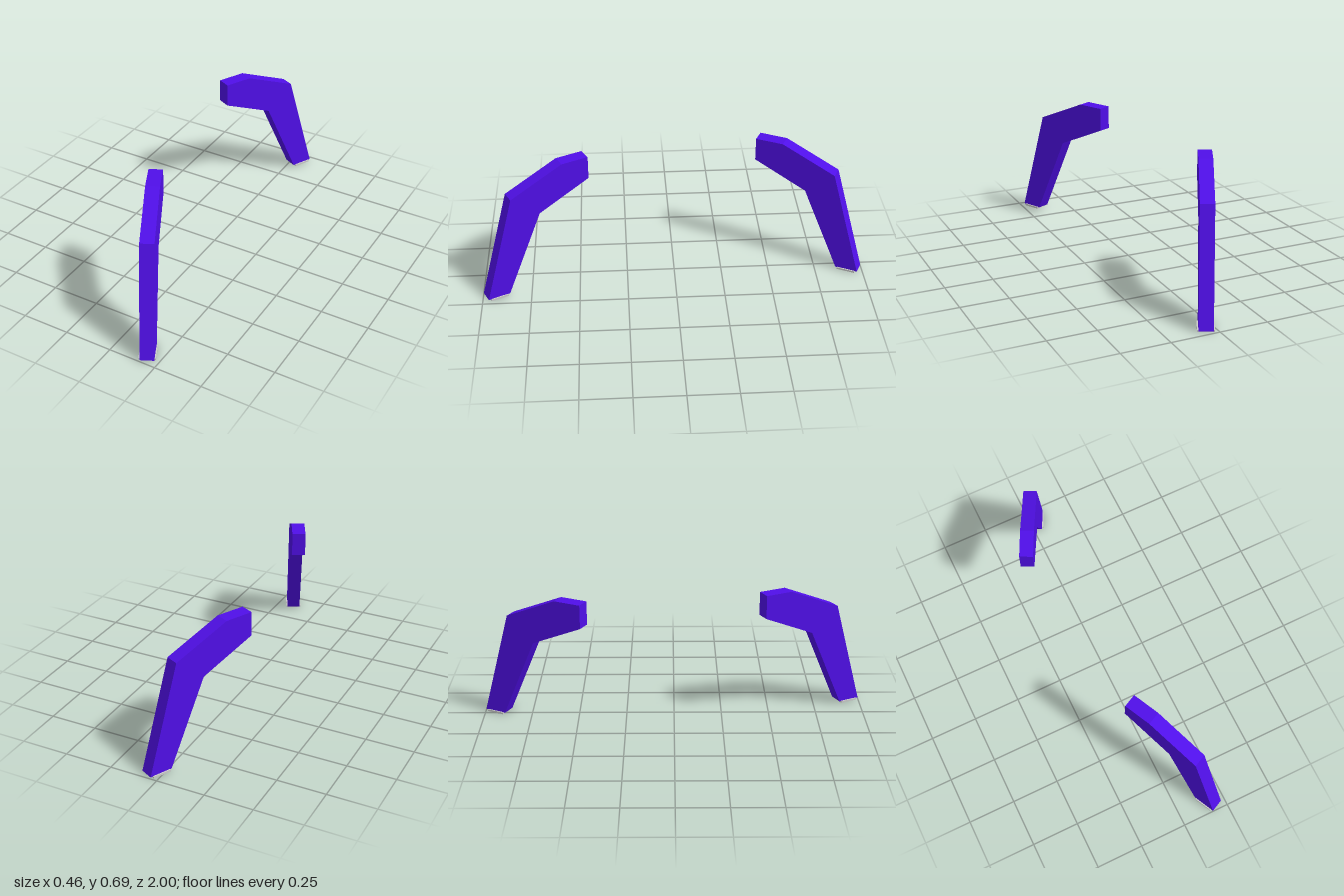
import * as THREE from 'three';

const ANGLE = 1.112; // how far each leg is turned away from the x axis
const WIDTH = 0.07;

const legMaterial = new THREE.MeshStandardMaterial({ color: 0x500fe8, flatShading: true });
const padMaterial = new THREE.MeshStandardMaterial({ color: 0xcccccc, flatShading: true });

// One bent leg with its foot pad; local x runs from the inner end outwards
function createLeg(name) {
  const leg = new THREE.Group();
  leg.name = name;

  // Side profile: flat top, sloping shoulder, tapering shin
  const profile = new THREE.Shape([
    [0, 0.565], [0.28, 0.44], [0.477, 0.008], [0.595, 0.008],
    [0.43, 0.565], [0.145, 0.688], [0, 0.688],
  ].map(([x, y]) => new THREE.Vector2(x, y)));
  const bodyGeometry = new THREE.ExtrudeGeometry(profile, { depth: WIDTH, bevelEnabled: false });
  bodyGeometry.translate(0, 0, -WIDTH / 2);
  const body = new THREE.Mesh(bodyGeometry, legMaterial);
  body.name = 'legBody';

  // Thin pad, a little wider than the leg
  const pad = new THREE.Mesh(new THREE.BoxGeometry(0.095, 0.01, 0.083), padMaterial);
  pad.name = 'footPad';
  pad.position.set(0.534, 0.005, 0);

  leg.add(body, pad);
  return leg;
}

export function createModel() {
  const model = new THREE.Group();
  model.name = 'legPair';

  const front = createLeg('frontLeg');
  front.position.set(-0.066, 0, 0.45);
  front.rotation.y = -ANGLE;

  const back = createLeg('backLeg');
  back.position.set(-0.2, 0, -0.45);
  back.rotation.y = ANGLE;

  model.add(front, back);
  return model;
}
